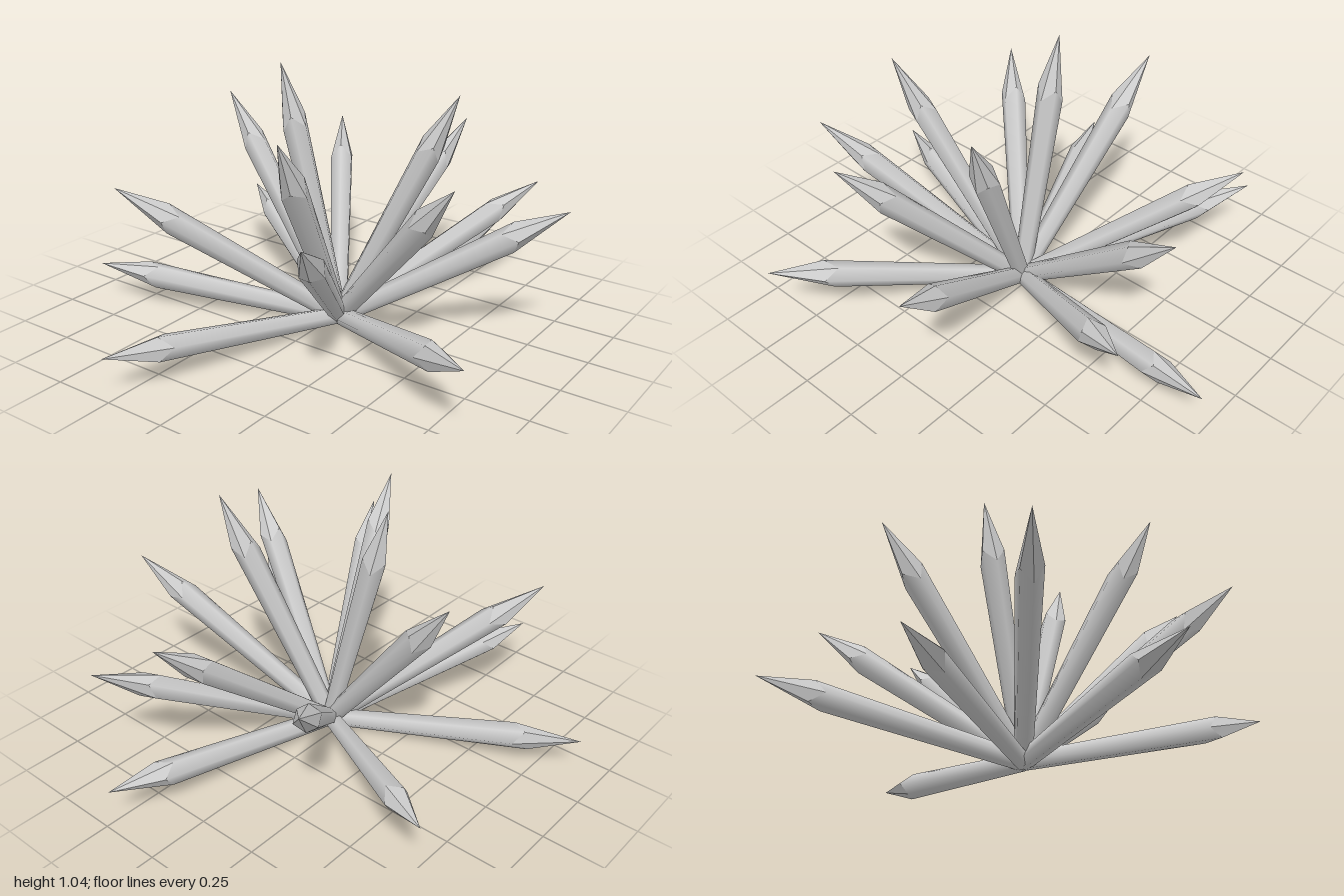
import * as THREE from 'three';

const SIDES = 6;
const BASE = new THREE.Vector3(-0.02, 0.04, 0.045);

// Tip of every crystal: x, y, z
const TIPS = [
  [-0.40, 0.16, -0.91], [0.51, 0.28, -0.81], [-0.62, 0.63, -0.56], [0.10, 0.85, -0.60],
  [0.68, 0.64, -0.43], [-1.00, 0.17, -0.27], [-0.05, 1.05, -0.21], [0.78, 0.70, 0.16],
  [0.99, 0.17, 0.23], [0.81, 0.47, 0.50], [0.21, 0.60, 0.90], [0.14, 0.98, 0.47],
  [-0.31, 0.79, 0.71], [-0.55, 0.30, 0.90], [-0.76, 0.66, 0.42], [-0.57, 0.92, 0.18],
];

// Shifts the shoulder ring up and down alternately, as on a quartz point
function zigzag(geometry, shoulderY) {
  const p = geometry.attributes.position;
  for (let i = 0; i < p.count; i++) {
    const radius = Math.hypot(p.getX(i), p.getZ(i));
    if (Math.abs(p.getY(i) - shoulderY) > 1e-4 || radius < 0.01) continue;
    const k = Math.round(Math.atan2(p.getX(i), p.getZ(i)) / (Math.PI * 2 / SIDES));
    p.setY(i, shoulderY + (k % 2 ? 0.025 : -0.025));
  }
  return geometry;
}

export function createModel() {
  const model = new THREE.Group();
  model.name = 'crystalCluster';
  const smooth = new THREE.MeshStandardMaterial({ color: 0xcccccc, side: THREE.DoubleSide });
  const faceted = new THREE.MeshStandardMaterial({ color: 0xcccccc, flatShading: true, side: THREE.DoubleSide });

  TIPS.forEach((tip, i) => {
    const axis = new THREE.Vector3(...tip).sub(BASE);
    const length = axis.length();
    const shoulder = length - 0.235;
    const crystal = new THREE.Group();
    crystal.name = `crystal${i + 1}`;

    // Shaft, slightly narrower at the root
    const shaft = new THREE.CylinderGeometry(0.052, 0.036, shoulder, SIDES, 1, true);
    shaft.translate(0, shoulder / 2, 0);
    const shaftMesh = new THREE.Mesh(zigzag(shaft, shoulder), smooth);
    shaftMesh.name = 'shaft';

    // Faceted point
    const point = new THREE.ConeGeometry(0.052, 0.235, SIDES, 1, true);
    point.translate(0, shoulder + 0.1175, 0);
    const pointMesh = new THREE.Mesh(zigzag(point, shoulder), faceted);
    pointMesh.name = 'point';

    // Root cap
    const root = new THREE.CircleGeometry(0.036, SIDES, Math.PI / 2);
    root.rotateX(Math.PI / 2);
    const rootMesh = new THREE.Mesh(root, faceted);
    rootMesh.name = 'root';

    crystal.add(shaftMesh, pointMesh, rootMesh);
    crystal.position.copy(BASE);
    crystal.quaternion.setFromUnitVectors(new THREE.Vector3(0, 1, 0), axis.normalize());
    model.add(crystal);
  });
  return model;
}
